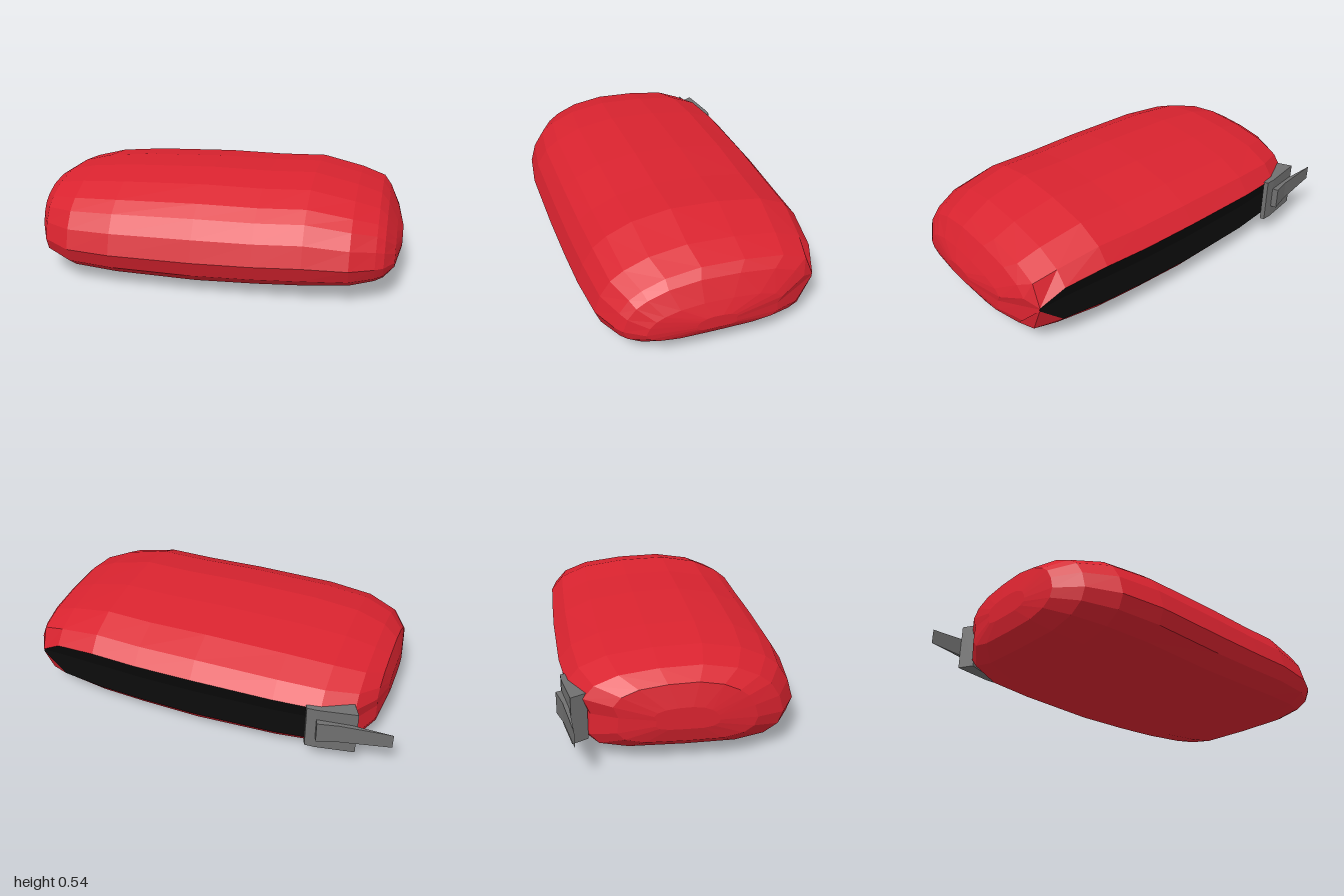
import * as THREE from 'three';

const red = new THREE.MeshStandardMaterial({ color: 0xd9232f });
red.name = 'red fabric';
const black = new THREE.MeshStandardMaterial({ color: 0x0b0b0b });
black.name = 'black panel';
const grey = new THREE.MeshStandardMaterial({ color: 0x707070 });
grey.name = 'grey clasp';

// Pouch outline seen from the side as [z, y], from the front over the top to the back
const profile = [
  [0.585, 0.18], [0.555, 0.29], [0.5, 0.38], [0.43, 0.435], [0.3, 0.495],
  [0.1, 0.53], [-0.15, 0.522], [-0.38, 0.49], [-0.52, 0.43],
  [-0.585, 0.35], [-0.545, 0.25], [-0.555, 0.11],
  [-0.5, 0.045], [-0.33, 0.008], [0, 0], [0.3, 0.003], [0.47, 0.04], [0.555, 0.1],
];
const LIP = 9, PANEL_END = 11; // profile points bounding the back panel

// Stations along x: [x, bottom, top, back, front, pinch of the back panel]
const stations = [
  [-0.9, 0.19, 0.3, -0.15, 0.15, 0],
  [-0.875, 0.115, 0.41, -0.33, 0.33, 0],
  [-0.8, 0.055, 0.458, -0.46, 0.47, 0],
  [-0.65, 0.02, 0.495, -0.53, 0.555, 0],
  [-0.42, 0.01, 0.515, -0.56, 0.58, 0],
  [0, 0, 0.53, -0.58, 0.57, 0],
  [0.3, 0.01, 0.527, -0.585, 0.558, 0],
  [0.54, 0.022, 0.535, -0.585, 0.545, 0],
  [0.76, 0.04, 0.485, -0.56, 0.515, 0],
  [0.88, 0.06, 0.44, -0.535, 0.455, 0.9],
  [0.92, 0.08, 0.4, -0.46, 0.425, 0],
  [0.97, 0.12, 0.305, -0.33, 0.33, 0],
  [1, 0.17, 0.24, -0.1, 0.1, 0],
];
const PANEL_FROM = 3, PANEL_TO = 9; // stations between which the panel runs

function section([x, bottom, top, back, front, pinch]) {
  return profile.map(([z, y], j) => {
    const p = j >= LIP && j <= PANEL_END ? pinch : 0;
    const yy = THREE.MathUtils.lerp(bottom + (y / 0.53) * (top - bottom), 0.25, p);
    const zz = THREE.MathUtils.lerp(z, -0.575, p);
    return new THREE.Vector3(x, yy, back + ((zz + 0.585) / 1.17) * (front - back));
  });
}

function facetMesh(name, points, material) {
  const g = new THREE.BufferGeometry().setFromPoints(points);
  g.computeVertexNormals();
  const m = new THREE.Mesh(g, material);
  m.name = name;
  return m;
}

// Pouch skin, with the back panel split off as its own mesh
function buildPouch(group) {
  const rings = stations.map(section);
  const n = profile.length, last = rings.length - 1;
  const body = [], panel = [];
  for (let i = 0; i < last; i++) {
    for (let j = 0; j < n; j++) {
      const k = (j + 1) % n;
      const a = rings[i][j], b = rings[i][k], c = rings[i + 1][k], d = rings[i + 1][j];
      const isPanel = i >= PANEL_FROM && i < PANEL_TO && j >= LIP && j < PANEL_END;
      (isPanel ? panel : body).push(a, d, c, a, c, b);
    }
  }
  // End caps
  for (const [ring, flip] of [[rings[0], false], [rings[last], true]]) {
    const mid = ring.reduce((s, p) => s.add(p), new THREE.Vector3()).divideScalar(n);
    for (let j = 0; j < n; j++) {
      const k = (j + 1) % n;
      body.push(mid, ring[flip ? k : j], ring[flip ? j : k]);
    }
  }
  group.add(facetMesh('pouchBody', body, red), facetMesh('backPanel', panel, black));
}

// Solid with a plan outline given as [x, z], standing between two heights
function planSolid(name, outline, y0, y1) {
  const shape = new THREE.Shape(outline.map(([x, z]) => new THREE.Vector2(x, -z)));
  const g = new THREE.ExtrudeGeometry(shape, { depth: y1 - y0, bevelEnabled: false });
  g.rotateX(-Math.PI / 2).translate(0, y0, 0);
  const m = new THREE.Mesh(g, grey);
  m.name = name;
  return m;
}

export function createModel() {
  const model = new THREE.Group();
  model.name = 'pouch';
  buildPouch(model);

  // Clasp on the back right corner
  const clasp = new THREE.Group();
  clasp.name = 'clasp';
  clasp.add(planSolid('claspPlate', [[-0.83, -0.515], [-0.79, -0.44], [-0.58, -0.535], [-0.59, -0.555], [-0.64, -0.552]], 0.11, 0.345));

  // Tongue, narrowing in height towards its tip
  const tongue = planSolid('claspTongue', [[-1, -0.505], [-0.83, -0.518], [-0.63, -0.53], [-0.65, -0.58], [-0.75, -0.55]], 0.175, 0.287);
  const pos = tongue.geometry.attributes.position;
  for (let i = 0; i < pos.count; i++) {
    const t = (-0.65 - pos.getX(i)) / 0.35;
    pos.setY(i, 0.231 + (pos.getY(i) - 0.231) * (1 - 0.33 * Math.max(0, t)));
  }
  tongue.geometry.computeVertexNormals();
  clasp.add(tongue);
  model.add(clasp);
  return model;
}
